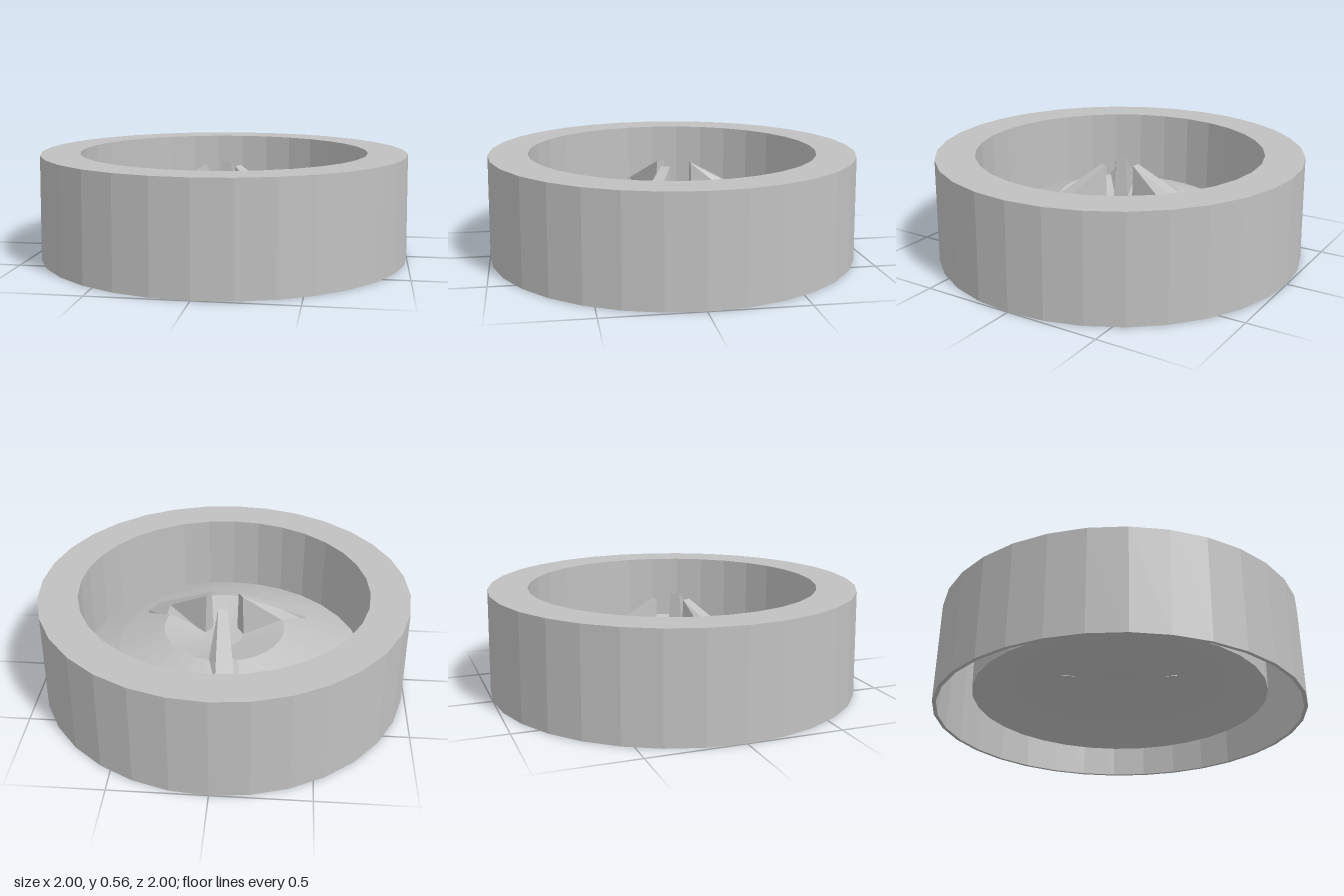
import * as THREE from 'three';

const SIDES = 32;

// Revolves a list of [radius, height] points
function revolve(name, points, material) {
  const profile = points.map(([r, y]) => new THREE.Vector2(r, y));
  const mesh = new THREE.Mesh(new THREE.LatheGeometry(profile, SIDES), material);
  mesh.name = name;
  return mesh;
}

// Tapered fin running towards -z, built from four-point cross-sections
function finGeometry(lean) {
  // radius, top height, top half width, base height, base half width
  const sections = [
    [0.1, 0.485, 0.025, 0.24, 0.04],
    [0.34, 0.35, 0.042, 0.29, 0.085],
    [0.49, 0.265, 0.052, 0.24, 0.055],
  ];
  const positions = [];
  const index = [];
  for (const [r, topY, topW, baseY, baseW] of sections) {
    const x = lean * (r - 0.1) / 0.39;
    positions.push(x - baseW, baseY, -r, x - topW, topY, -r, x + topW, topY, -r, x + baseW, baseY, -r);
  }
  for (let i = 0; i < sections.length - 1; i++) {
    for (let j = 0; j < 4; j++) {
      const a = i * 4 + j;
      const b = i * 4 + (j + 1) % 4;
      index.push(a, b, b + 4, a, b + 4, a + 4);
    }
  }
  index.push(0, 3, 2, 0, 2, 1); // inner end
  index.push(8, 9, 10, 8, 10, 11); // outer end
  const geometry = new THREE.BufferGeometry();
  geometry.setAttribute('position', new THREE.Float32BufferAttribute(positions, 3));
  geometry.setIndex(index);
  geometry.computeVertexNormals();
  return geometry;
}

export function createModel() {
  const group = new THREE.Group();
  group.name = 'finnedRing';
  const grey = new THREE.MeshStandardMaterial({ color: 0xc0c0c0, flatShading: true });
  grey.name = 'light grey';

  // Thin-walled ring, hollow underneath
  group.add(revolve('ringShell', [
    [0.8, 0.11], [0.8, 0.54], [0.97, 0.54], [0.98, 0],
    [1, 0], [0.99, 0.56], [0.78, 0.56], [0.78, 0.13],
  ], grey));

  // Domed floor with a sunken centre, top and underside
  group.add(revolve('floorTop', [
    [0.78, 0.13], [0.58, 0.22], [0.33, 0.31], [0.1, 0.25], [0, 0.25],
  ], grey));
  group.add(revolve('floorUnderside', [
    [0, 0.23], [0.1, 0.23], [0.33, 0.29], [0.58, 0.2], [0.8, 0.11],
  ], grey));

  // Three radial fins, the rear one leaning slightly sideways
  [-0.04, 0, 0].forEach((lean, i) => {
    const fin = new THREE.Mesh(finGeometry(lean), grey);
    fin.name = 'fin' + (i + 1);
    fin.rotation.y = i * Math.PI * 2 / 3;
    group.add(fin);
  });

  return group;
}
